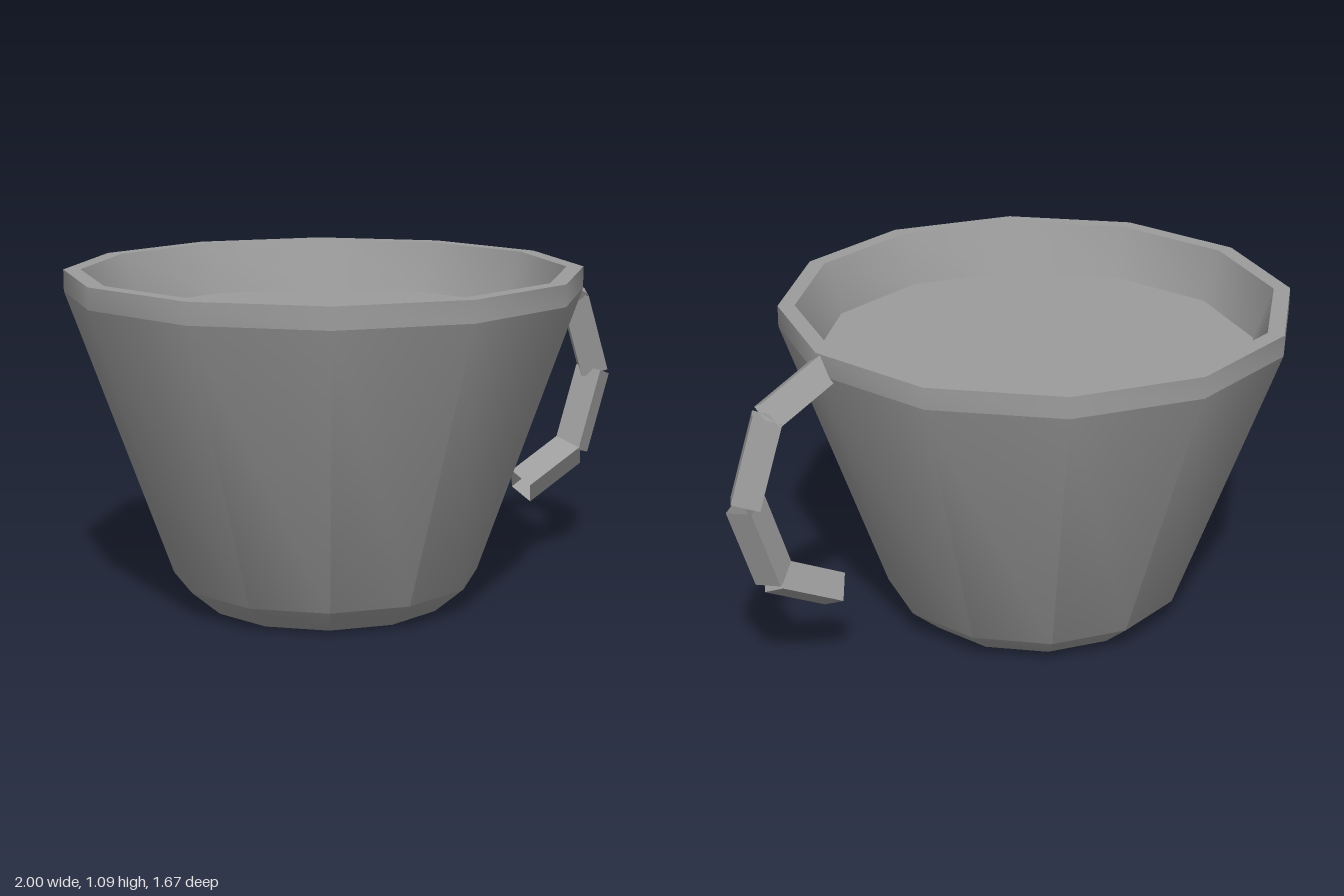
import * as THREE from 'three';
import { toCreasedNormals } from 'three/addons/utils/BufferGeometryUtils.js';

const SIDES = 12;
const CUP_X = -0.165;

export function createModel() {
  const model = new THREE.Group();
  model.name = 'cup';
  const grey = new THREE.MeshStandardMaterial({ color: 0x9c9c9c, side: THREE.DoubleSide });
  grey.name = 'grey';

  // Round part of the cup: profile points are [radius, height]
  const lathe = (name, profile) => {
    const points = profile.map(([r, y]) => new THREE.Vector2(r, y));
    const mesh = new THREE.Mesh(toCreasedNormals(new THREE.LatheGeometry(points, SIDES), 0.6), grey);
    mesh.name = name;
    mesh.position.x = CUP_X;
    model.add(mesh);
  };
  lathe('base', [[0, 0], [0.4, 0]]);
  lathe('outerWall', [[0.4, 0], [0.5, 0.085], [0.835, 1.02]]);
  lathe('rim', [[0.835, 1.02], [0.835, 1.09], [0.78, 1.09]]);
  lathe('innerWall', [[0.78, 1.09], [0.72, 0.92]]);
  lathe('liquid', [[0.72, 0.92], [0, 0.92]]);

  // Handle: four straight, open square tubes along a bent path
  const handle = new THREE.Group();
  handle.name = 'handle';
  const path = [[0.634, 1.032], [0.848, 0.922], [0.938, 0.655], [0.848, 0.382], [0.631, 0.27]]
    .map(([x, y]) => new THREE.Vector3(x, y, 0));
  const twist = THREE.MathUtils.degToRad(15);
  for (let i = 0; i < path.length - 1; i++) {
    const along = path[i + 1].clone().sub(path[i]);
    const length = along.length();
    const down = along.normalize();
    const out = new THREE.Vector3(-down.y, down.x, 0);
    const front = new THREE.Vector3(0, 0, 1);
    const tube = new THREE.CylinderGeometry(0.065, 0.065, length, 4, 1, true).toNonIndexed();
    // Tube corners lean to the front on the upper half and to the back on the lower half
    tube.rotateY(i < 2 ? -twist : twist);
    tube.computeVertexNormals();
    const mesh = new THREE.Mesh(tube, grey);
    mesh.name = 'handleSegment' + (i + 1);
    mesh.quaternion.setFromRotationMatrix(
      new THREE.Matrix4().makeBasis(out, down.clone(), front.clone().cross(new THREE.Vector3()).copy(out).cross(down)));
    mesh.position.copy(path[i]).add(path[i + 1]).multiplyScalar(0.5);
    handle.add(mesh);
  }
  model.add(handle);
  return model;
}
